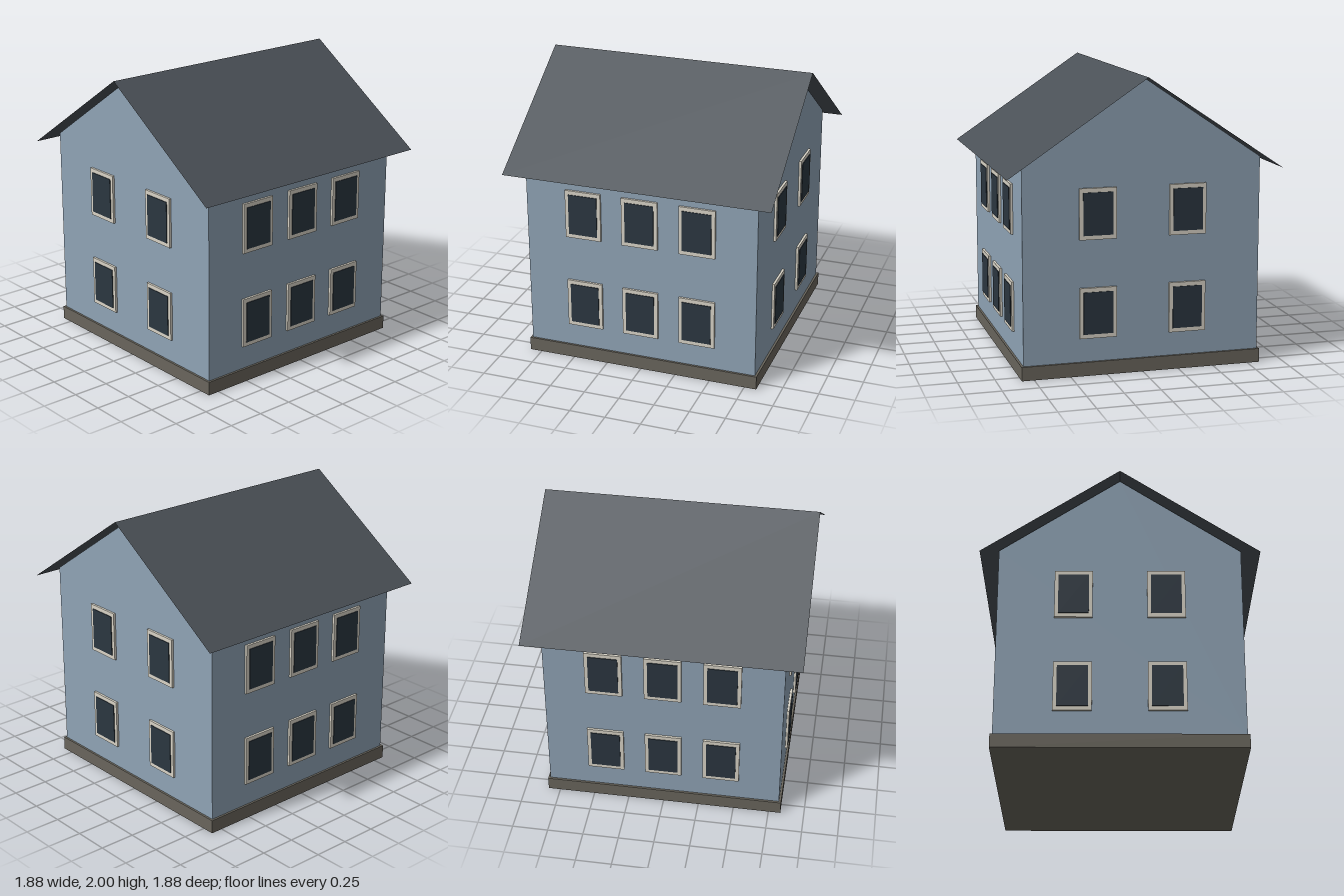
import * as THREE from 'three';

const mat = (color, side = THREE.FrontSide) => new THREE.MeshStandardMaterial({ color, side });

export function createModel() {
  const house = new THREE.Group();
  house.name = 'house';
  const half = 0.82; // half width of the square walls
  const materials = {
    wall: mat(0x8fa3b5),
    base: mat(0x69655c),
    roof: mat(0x4a5056, THREE.DoubleSide),
    frame: mat(0xd8d3c6),
    glass: mat(0x2b3640),
  };

  const add = (parent, name, geometry, material, x = 0, y = 0, z = 0) => {
    const mesh = new THREE.Mesh(geometry, material);
    mesh.name = name;
    mesh.position.set(x, y, z);
    parent.add(mesh);
    return mesh;
  };

  // Foundation slab
  add(house, 'foundation', new THREE.BoxGeometry(1.67, 0.095, 1.67), materials.base, 0, 0.0475, 0);

  // Walls with gables, extruded along x
  const profile = new THREE.Shape([
    [-half, 0.095], [half, 0.095], [half, 1.435], [0, 1.99], [-half, 1.435],
  ].map(([z, y]) => new THREE.Vector2(z, y)));
  const walls = new THREE.ExtrudeGeometry(profile, { depth: 2 * half, bevelEnabled: false });
  walls.translate(0, 0, -half).rotateY(Math.PI / 2);
  add(house, 'walls', walls, materials.wall);

  // Two thin roof slopes meeting at the ridge, overhanging all round
  const run = 0.94, eaveY = 1.37, rise = 2 - eaveY;
  for (const side of [1, -1]) {
    const slope = new THREE.PlaneGeometry(2 * run, Math.hypot(run, rise));
    slope.rotateX(-Math.atan2(run, rise));
    if (side < 0) slope.rotateY(Math.PI);
    add(house, side > 0 ? 'frontRoofSlope' : 'backRoofSlope', slope, materials.roof,
      0, (2 + eaveY) / 2, side * run / 2);
  }

  // Windows: two floors on every wall, three per long wall and two per gable wall
  const frameGeometry = new THREE.BoxGeometry(0.255, 0.345, 0.03);
  const glassGeometry = new THREE.BoxGeometry(0.205, 0.288, 0.03);
  const sides = [
    ['front', 0, [-0.405, 0, 0.405]],
    ['left', Math.PI / 2, [-0.31, 0.31]],
    ['back', Math.PI, [-0.405, 0, 0.405]],
    ['right', -Math.PI / 2, [-0.31, 0.31]],
  ];
  for (const [name, angle, columns] of sides) {
    const windows = new THREE.Group();
    windows.name = name + 'Windows';
    windows.rotation.y = angle;
    for (const y of [0.431, 1.102]) {
      for (const x of columns) {
        add(windows, 'windowFrame', frameGeometry, materials.frame, x, y, half + 0.001);
        add(windows, 'windowPane', glassGeometry, materials.glass, x, y, half + 0.006);
      }
    }
    house.add(windows);
  }
  return house;
}
